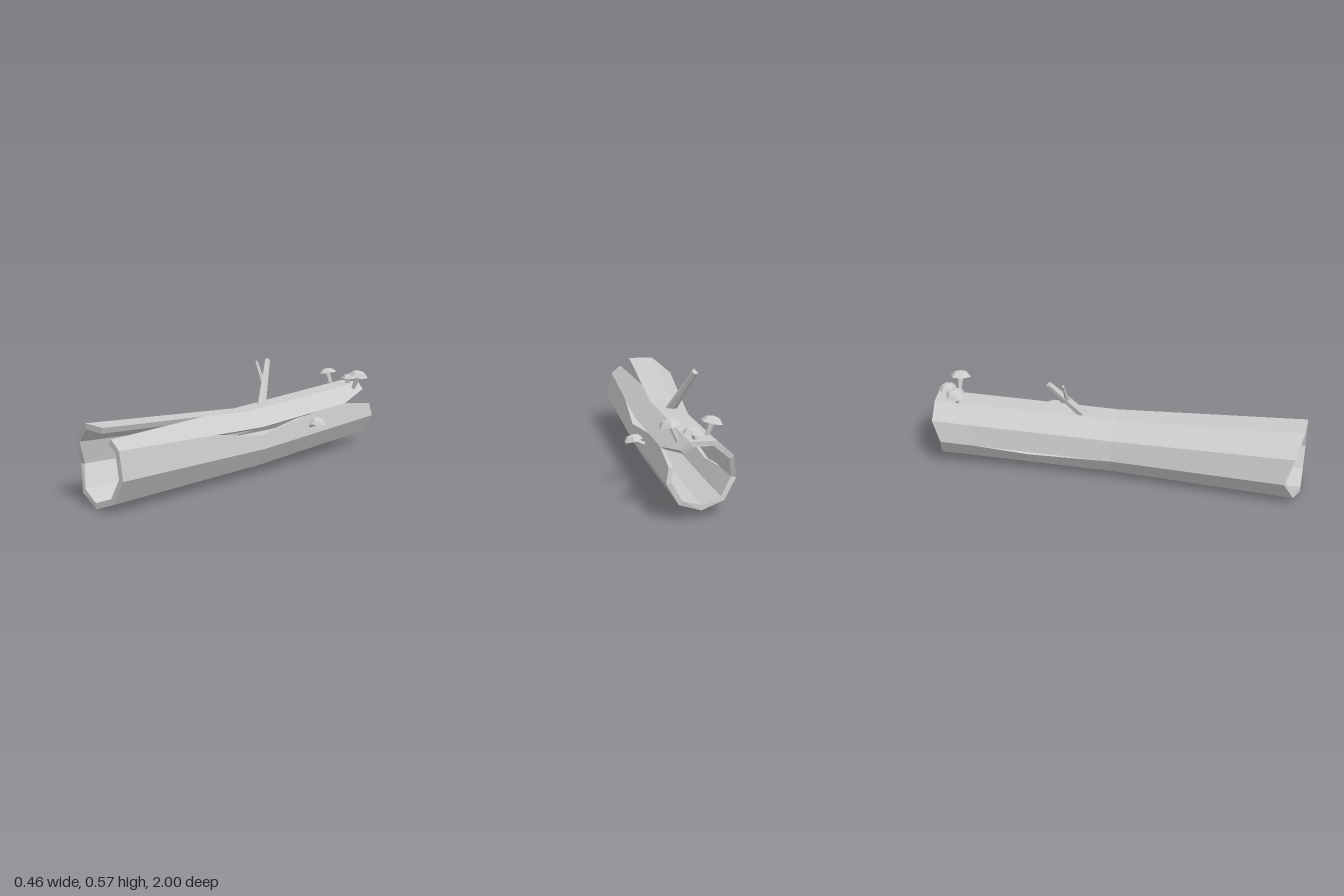
import * as THREE from 'three';

const V = (x, y, z) => new THREE.Vector3(x, y, z);
const mat = new THREE.MeshStandardMaterial({ color: 0xcccccc, flatShading: true, side: THREE.DoubleSide });

// Nine-sided trunk: centre, outer and inner radius at the front, waist and back
const ENDS = [
  { x: -0.02, y: 0.21, r: 0.211, i: 0.18 },
  { x: -0.01, y: 0.18, r: 0.17, i: 0.145 },
  { x: -0.06, y: 0.205, r: 0.17, i: 0.145 },
];
// Ragged z of each corner at the two open ends (corner 0 is the lowest, counting towards +x)
const FRONT = [1, 1, 1, 1, 1, 0.995, 0.965, 0.92, 0.97];
const BACK = [-0.97, -1, -1, -0.98, -1, -0.985, -0.975, -0.93, -0.95];

// Stations along the log, with the corner numbers where each wall piece starts and stops
const STATIONS = [
  { z: 1, lower: [-2, 3], strip: [3, 3.5], upper: [4, 7] },
  { z: 0.35, lower: [-2, 3], strip: [3, 4], upper: [4, 7] },
  { z: 0, lower: [-2, 2.62], strip: [3, 4], upper: [4, 7] },
  { z: -0.45, lower: [-1.75, 3], strip: [3, 4], upper: [4, 7] },
  { z: -0.75, lower: [-2, 3], strip: [3, 4], upper: [4, 7] },
  { z: -1, lower: [-2, 2.65], strip: [3.5, 4], upper: [4, 7] },
];

function corner(k, z, inner) {
  const [a, b] = z >= 0 ? [ENDS[1], ENDS[0]] : [ENDS[1], ENDS[2]];
  const mix = (key) => THREE.MathUtils.lerp(a[key], b[key], Math.abs(z));
  const ang = THREE.MathUtils.degToRad(-90 + 40 * k);
  const r = mix(inner ? 'i' : 'r');
  const n = (k + 9) % 9;
  const zz = z === 1 ? FRONT[n] : z === -1 ? BACK[n] : z;
  return V(mix('x') + r * Math.cos(ang), mix('y') + r * Math.sin(ang), zz);
}

// Point on the trunk outline at a fractional corner number
function outline(k, z, inner) {
  const f = Math.floor(k);
  const p = corner(f, z, inner);
  return k === f ? p : p.lerp(corner(f + 1, z, inner), k - f);
}

// Closed thick wall lofted through all stations
function wallPiece(name) {
  const [lo, hi] = STATIONS[1][name];
  const n = hi - lo + 1;
  const loops = STATIONS.map((s) => {
    const ks = Array.from({ length: n }, (_, j) => lo + j);
    ks[0] = s[name][0];
    ks[n - 1] = s[name][1];
    return [
      ...ks.map((k) => outline(k, s.z, false)),
      ...ks.slice().reverse().map((k) => outline(k, s.z, true)),
    ];
  });
  const pos = [];
  const quad = (a, b, c, d) => [a, b, c, a, c, d].forEach((p) => pos.push(p.x, p.y, p.z));
  for (let s = 0; s < loops.length - 1; s++) {
    const f = loops[s], b = loops[s + 1];
    for (let j = 0; j < 2 * n; j++) {
      const q = (j + 1) % (2 * n);
      quad(f[j], b[j], b[q], f[q]);
    }
  }
  // Rims at the two open ends
  const F = loops[0], B = loops[loops.length - 1];
  for (let j = 0; j < n - 1; j++) {
    const i0 = 2 * n - 1 - j, i1 = i0 - 1;
    quad(F[j], F[j + 1], F[i1], F[i0]);
    quad(B[j], B[i0], B[i1], B[j + 1]);
  }
  const g = new THREE.BufferGeometry();
  g.setAttribute('position', new THREE.Float32BufferAttribute(pos, 3));
  g.computeVertexNormals();
  return g;
}

function add(parent, name, geometry) {
  const m = new THREE.Mesh(geometry, mat);
  m.name = name;
  parent.add(m);
  return m;
}

const UP = V(0, 1, 0);

// Tapered stick between two points
function stick(parent, name, a, b, r0, r1, sides) {
  const d = b.clone().sub(a);
  const m = add(parent, name, new THREE.CylinderGeometry(r1, r0, d.length(), sides));
  m.position.copy(a).addScaledVector(d, 0.5);
  m.quaternion.setFromUnitVectors(UP, d.normalize());
}

// Six-sided cap on a leaning stem
function mushroom(parent, name, root, head, tilt, size) {
  const g = new THREE.Group();
  g.name = name;
  stick(g, 'stem', root, head, 0.011, 0.014, 6);
  const profile = [[0, 0.008], [0.056, 0], [0.036, 0.022], [0, 0.031]];
  const cap = add(g, 'cap', new THREE.LatheGeometry(profile.map(([x, y]) => new THREE.Vector2(x * size, y * size)), 6));
  cap.position.copy(head);
  cap.rotation.z = tilt;
  parent.add(g);
}

export function createModel() {
  const model = new THREE.Group();
  model.name = 'hollowLog';

  // Split trunk wall
  const trunk = new THREE.Group();
  trunk.name = 'trunk';
  add(trunk, 'lowerWall', wallPiece('lower'));
  add(trunk, 'sideStrip', wallPiece('strip'));
  add(trunk, 'upperWall', wallPiece('upper'));
  model.add(trunk);

  // Broken branch with a twig
  const branch = new THREE.Group();
  branch.name = 'branch';
  stick(branch, 'branchStem', V(-0.03, 0.325, -0.17), V(-0.135, 0.558, -0.335), 0.027, 0.016, 6);
  stick(branch, 'twig', V(-0.088, 0.445, -0.25), V(-0.145, 0.56, -0.255), 0.013, 0.007, 5);
  model.add(branch);

  // Mushrooms on the back end and the left side
  mushroom(model, 'tallMushroom', V(0.04, 0.345, -0.9), V(0.075, 0.422, -0.9), -0.22, 1.03);
  mushroom(model, 'rightMushroom', V(-0.1, 0.355, -0.86), V(-0.125, 0.422, -0.86), 0.2, 0.98);
  mushroom(model, 'smallMushroom', V(-0.04, 0.35, -0.93), V(-0.022, 0.392, -0.94), 0.05, 0.92);
  mushroom(model, 'sideMushroom', V(0.13, 0.21, -0.4), V(0.186, 0.234, -0.4), -0.25, 0.92);

  return model;
}
